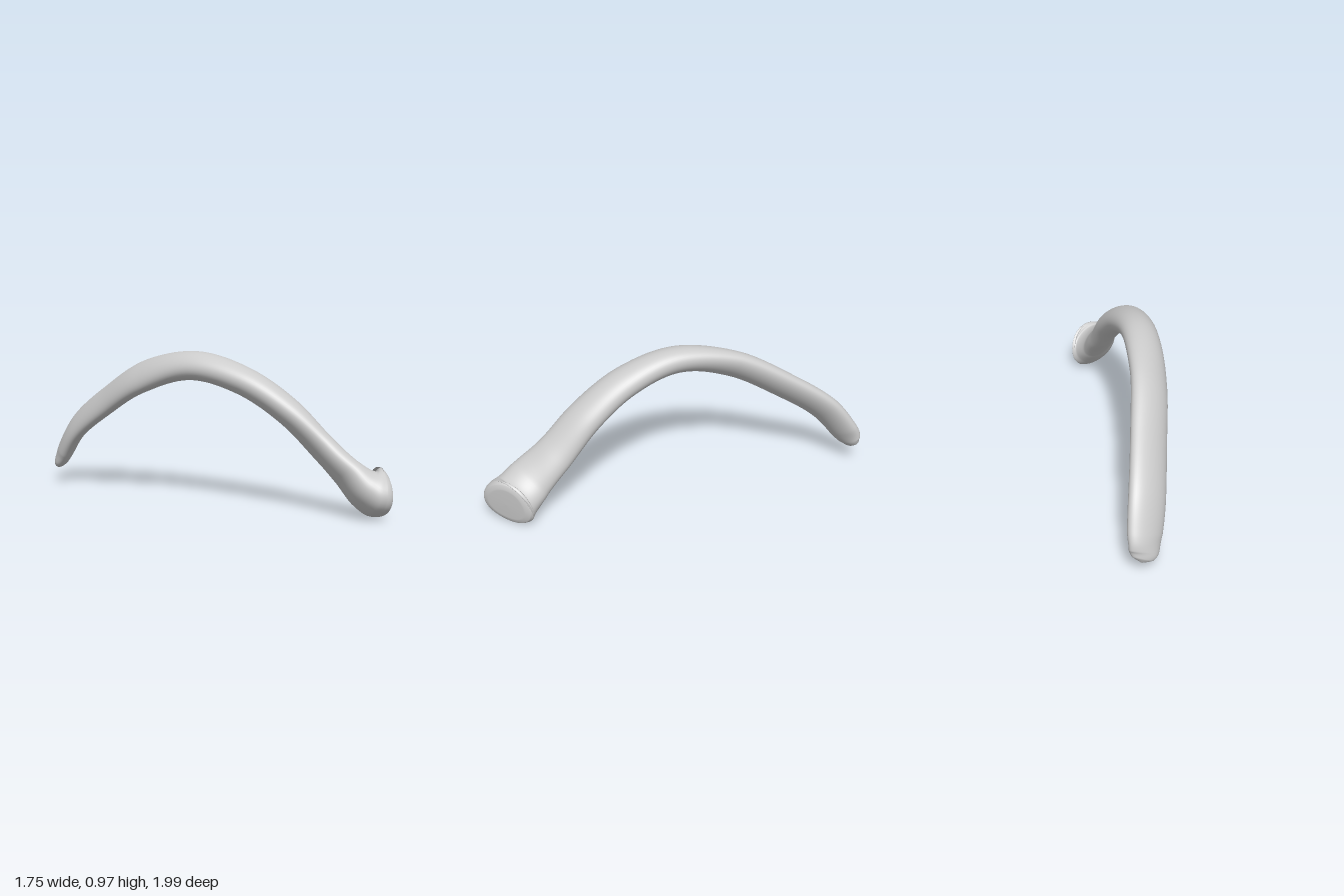
import * as THREE from 'three';

// Stations along the bone: centre x, y, z, half width, half thickness, roll in degrees
const STATIONS = [
  [-0.835, 0.115, -0.94, 0, 0, 45],
  [-0.832, 0.135, -0.925, 0.07, 0.035, 45],
  [-0.825, 0.17, -0.90, 0.103, 0.05, 45],
  [-0.80, 0.25, -0.855, 0.125, 0.06, 45],
  [-0.73, 0.42, -0.73, 0.137, 0.065, 45],
  [-0.57, 0.62, -0.48, 0.137, 0.07, 45],
  [-0.38, 0.80, -0.20, 0.135, 0.077, 42],
  [-0.12, 0.887, 0.09, 0.118, 0.087, 18],
  [0.14, 0.80, 0.32, 0.122, 0.089, -5],
  [0.365, 0.625, 0.49, 0.128, 0.086, -18],
  [0.545, 0.41, 0.625, 0.133, 0.077, -36],
  [0.66, 0.27, 0.73, 0.153, 0.084, -38],
  [0.75, 0.18, 0.79, 0.172, 0.122, -24],
  [0.81, 0.155, 0.81, 0.188, 0.152, -10],
  [0.84, 0.15, 0.812, 0.172, 0.142, -8],
  [0.852, 0.15, 0.812, 0.135, 0.11, -8],
  [0.854, 0.15, 0.812, 0.07, 0.055, -8],
  [0.855, 0.15, 0.812, 0, 0, -8],
];

// Sweeps a rolling ellipse along the smoothed stations
function sweepBone(steps, sides) {
  const path = new THREE.CatmullRomCurve3(STATIONS.map((s) => new THREE.Vector3(s[0], s[1], s[2])));
  const size = new THREE.CatmullRomCurve3(
    STATIONS.map((s) => new THREE.Vector3(s[3], s[4], THREE.MathUtils.degToRad(s[5]) * 0.2)));
  const positions = [];
  const index = [];
  for (let i = 0; i <= steps; i++) {
    const t = i / steps;
    const centre = path.getPoint(t);
    const tangent = path.getPoint(Math.min(1, t + 0.02))
      .sub(path.getPoint(Math.max(0, t - 0.02))).normalize();
    if (t > 0.76) tangent.lerp(new THREE.Vector3(1, -0.08, 0), Math.min(1, (t - 0.68) / 0.12 * 0.8)).normalize();
    const across = new THREE.Vector3(tangent.z, 0, -tangent.x).normalize();
    const up = new THREE.Vector3().crossVectors(tangent, across);
    const { x: a, y: b, z } = size.getPoint(t);
    const roll = z / 0.2;
    // Uneven, three-lobed rim on the joint head
    const lobes = 0.045 * THREE.MathUtils.smoothstep(t, 0.66, 0.78);
    for (let j = 0; j < sides; j++) {
      const phi = (j / sides) * Math.PI * 2;
      const swell = 1 + lobes * Math.cos(3 * phi - 1.4 * Math.PI);
      const u = Math.max(0, a) * Math.cos(phi) * swell;
      const v = Math.max(0, b) * Math.sin(phi) * swell;
      const p = centre.clone()
        .addScaledVector(across, u * Math.cos(roll) - v * Math.sin(roll))
        .addScaledVector(up, u * Math.sin(roll) + v * Math.cos(roll));
      positions.push(p.x, p.y, p.z);
      if (i === steps) continue;
      const k = i * sides + j;
      const n = i * sides + ((j + 1) % sides);
      index.push(k, n, k + sides, n, n + sides, k + sides);
    }
  }
  const geometry = new THREE.BufferGeometry();
  geometry.setAttribute('position', new THREE.Float32BufferAttribute(positions, 3));
  geometry.setIndex(index);
  // Centre on x and z, stand on the ground
  geometry.computeBoundingBox();
  const { min, max } = geometry.boundingBox;
  geometry.translate(-(min.x + max.x) / 2, -min.y, -(min.z + max.z) / 2);
  geometry.computeVertexNormals();
  return geometry;
}

export function createModel() {
  const group = new THREE.Group();
  group.name = 'curvedBone';
  const bone = new THREE.Mesh(
    sweepBone(170, 48),
    new THREE.MeshStandardMaterial({ color: 0xcccccc, roughness: 0.8 }));
  bone.name = 'boneShaftAndHead';
  group.add(bone);
  return group;
}
